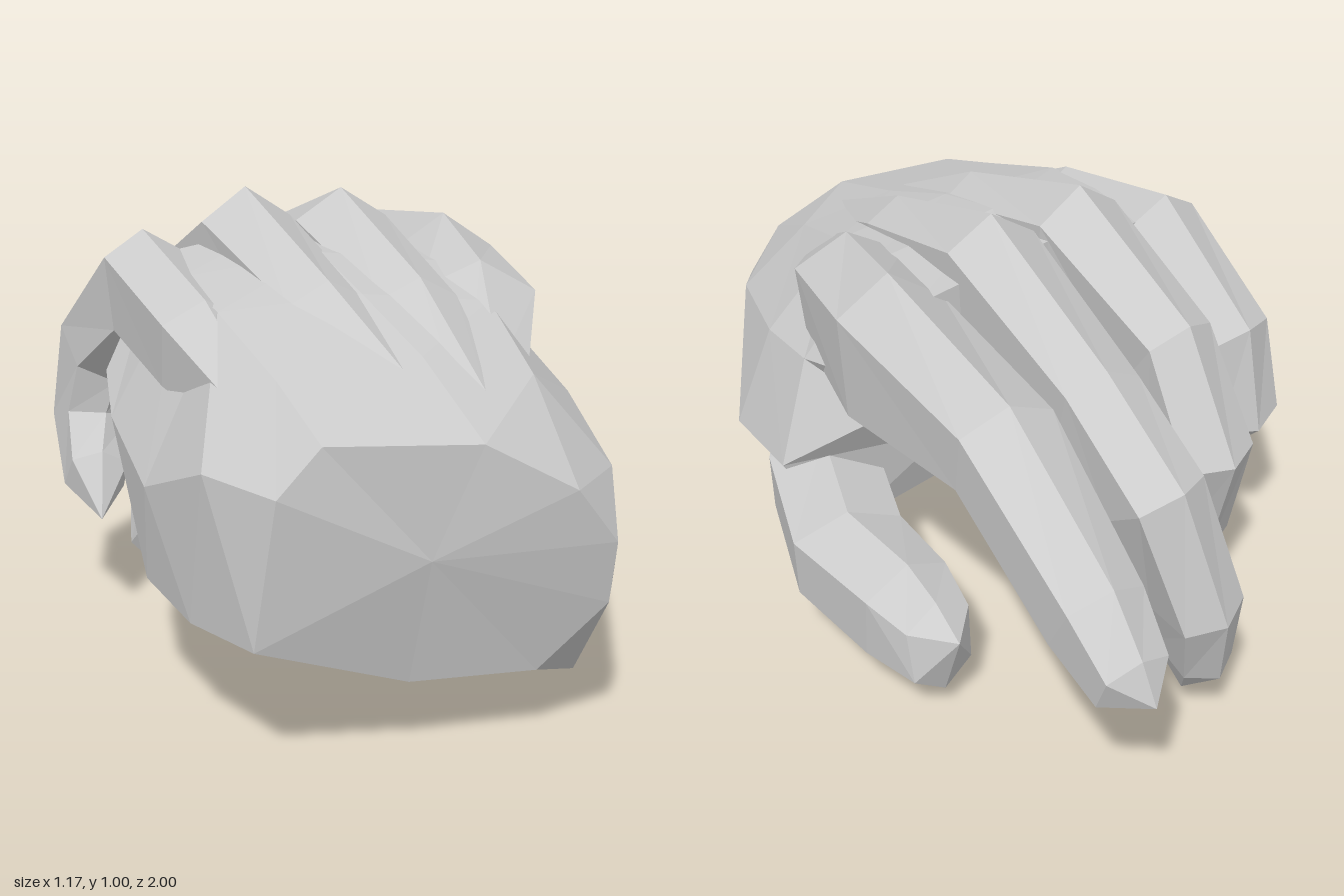
import * as THREE from 'three';

const material = new THREE.MeshStandardMaterial({ color: 0xcccccc, flatShading: true });
const V = (p) => new THREE.Vector3(p[0], p[1], p[2]);

// Skin a list of rings (clockwise seen from +z, running towards -z) and close both ends with fans.
function loft(name, rings, startPoint, endPoint) {
  const pos = [];
  const tri = (...pts) => pts.forEach((p) => pos.push(p.x, p.y, p.z));
  const n = rings[0].length;
  for (let j = 0; j < n; j++) {
    const k = (j + 1) % n;
    for (let i = 0; i < rings.length - 1; i++) {
      const a = rings[i], b = rings[i + 1];
      tri(a[j], a[k], b[k]);
      tri(a[j], b[k], b[j]);
    }
    const first = rings[0], last = rings[rings.length - 1];
    tri(startPoint, first[k], first[j]);
    tri(endPoint, last[j], last[k]);
  }
  const geometry = new THREE.BufferGeometry();
  geometry.setAttribute('position', new THREE.Float32BufferAttribute(pos, 3));
  geometry.computeVertexNormals();
  const mesh = new THREE.Mesh(geometry, material);
  mesh.name = name;
  return mesh;
}

// Cross-section of a digit: ridge on top, broad shoulders, narrower below
const digitProfile = [[0, 1], [1, 0.6], [0.92, -0.55], [0, -1], [-0.92, -0.55], [-1, 0.6]];

// A six-sided digit through joints [x, y, z, halfWidth, halfHeight], ending in a blunt tip.
function digit(name, joints, tip) {
  const centres = joints.map(V);
  const rings = joints.map(([, , , w, h], i) => {
    const before = centres[Math.max(i - 1, 0)];
    const after = centres[i + 1] ?? V(tip);
    const along = after.clone().sub(before).normalize();
    const side = new THREE.Vector3(1, 0, 0).addScaledVector(along, -along.x).normalize();
    const up = side.clone().cross(along);
    return digitProfile.map(([s, u]) =>
      centres[i].clone().addScaledVector(side, s * w).addScaledVector(up, u * h));
  });
  return loft(name, rings, centres[0], V(tip));
}

// Palm cross-sections from the cut wrist to the knuckles, bulging at the thumb base
const palmSections = [
  [[-0.40, 0.67, 0.90], [-0.10, 0.655, 0.96], [0.08, 0.555, 1.0], [0.17, 0.44, 1.0], [0.175, 0.305, 0.97],
    [0.06, 0.155, 0.90], [-0.20, 0.16, 0.86], [-0.52, 0.275, 0.86], [-0.49, 0.58, 0.90]],
  [[-0.40, 0.74, 0.68], [-0.08, 0.75, 0.66], [0.15, 0.70, 0.70], [0.28, 0.52, 0.80], [0.32, 0.25, 0.76],
    [0.22, 0.08, 0.78], [-0.20, 0.15, 0.72], [-0.56, 0.25, 0.62], [-0.56, 0.58, 0.70]],
  [[-0.42, 0.82, 0.42], [-0.10, 0.83, 0.42], [0.20, 0.79, 0.42], [0.38, 0.58, 0.46], [0.46, 0.32, 0.51],
    [0.26, 0.06, 0.50], [-0.10, 0.17, 0.45], [-0.57, 0.26, 0.38], [-0.59, 0.48, 0.44]],
  [[-0.42, 0.85, 0.20], [-0.10, 0.88, 0.20], [0.25, 0.83, 0.20], [0.39, 0.60, 0.26], [0.48, 0.35, 0.23],
    [0.33, 0.12, 0.22], [-0.02, 0.28, 0.20], [-0.53, 0.29, 0.20], [-0.57, 0.55, 0.16]],
  [[-0.40, 0.86, -0.02], [-0.10, 0.90, -0.04], [0.26, 0.84, -0.04], [0.36, 0.66, 0.0], [0.30, 0.53, 0.04],
    [0.14, 0.43, 0.04], [-0.10, 0.41, 0.0], [-0.45, 0.42, 0.02], [-0.54, 0.62, 0.03]],
].map((ring) => ring.map(V));

// Fingers start as tendons inside the back of the hand
const digits = {
  indexFinger: [[
    [0.12, 0.62, 0.60, 0.06, 0.08], [0.23, 0.69, 0.30, 0.13, 0.17], [0.30, 0.70, 0.0, 0.125, 0.21],
    [0.32, 0.72, -0.47, 0.11, 0.125], [0.325, 0.52, -0.80, 0.09, 0.12], [0.33, 0.45, -0.93, 0.075, 0.08],
  ], [0.32, 0.43, -1.0]],
  middleFinger: [[
    [0.0, 0.63, 0.76, 0.05, 0.07], [0.03, 0.74, 0.40, 0.09, 0.12], [0.04, 0.81, 0.0, 0.11, 0.175],
    [0.08, 0.73, -0.46, 0.09, 0.115], [0.07, 0.61, -0.65, 0.09, 0.12], [0.0, 0.36, -0.72, 0.08, 0.11],
    [-0.04, 0.19, -0.67, 0.065, 0.105],
  ], [-0.03, 0.07, -0.66]],
  ringFinger: [[
    [-0.13, 0.64, 0.74, 0.05, 0.07], [-0.18, 0.75, 0.40, 0.09, 0.12], [-0.19, 0.82, 0.0, 0.11, 0.18],
    [-0.23, 0.69, -0.30, 0.09, 0.13], [-0.24, 0.50, -0.42, 0.095, 0.13], [-0.27, 0.24, -0.34, 0.09, 0.11],
    [-0.31, 0.12, -0.23, 0.09, 0.10],
  ], [-0.31, 0.0, -0.14]],
  littleFinger: [[
    [-0.42, 0.65, 0.60, 0.05, 0.07], [-0.43, 0.72, 0.35, 0.09, 0.12], [-0.43, 0.78, 0.0, 0.095, 0.14],
    [-0.47, 0.61, -0.22, 0.09, 0.11], [-0.49, 0.44, -0.25, 0.085, 0.10], [-0.52, 0.33, -0.14, 0.07, 0.08],
  ], [-0.55, 0.26, -0.01]],
  thumb: [[
    [0.22, 0.28, 0.52, 0.10, 0.12], [0.36, 0.25, 0.26, 0.13, 0.13], [0.45, 0.23, -0.02, 0.13, 0.13],
    [0.43, 0.21, -0.24, 0.11, 0.14], [0.41, 0.18, -0.36, 0.085, 0.11],
  ], [0.41, 0.24, -0.44]],
};

export function createModel() {
  const group = new THREE.Group();
  group.name = 'hand';
  group.add(loft('palm', palmSections, V([-0.19, 0.43, 0.93]), V([-0.08, 0.64, -0.04])));
  for (const [name, [joints, tip]] of Object.entries(digits)) group.add(digit(name, joints, tip));
  return group;
}
